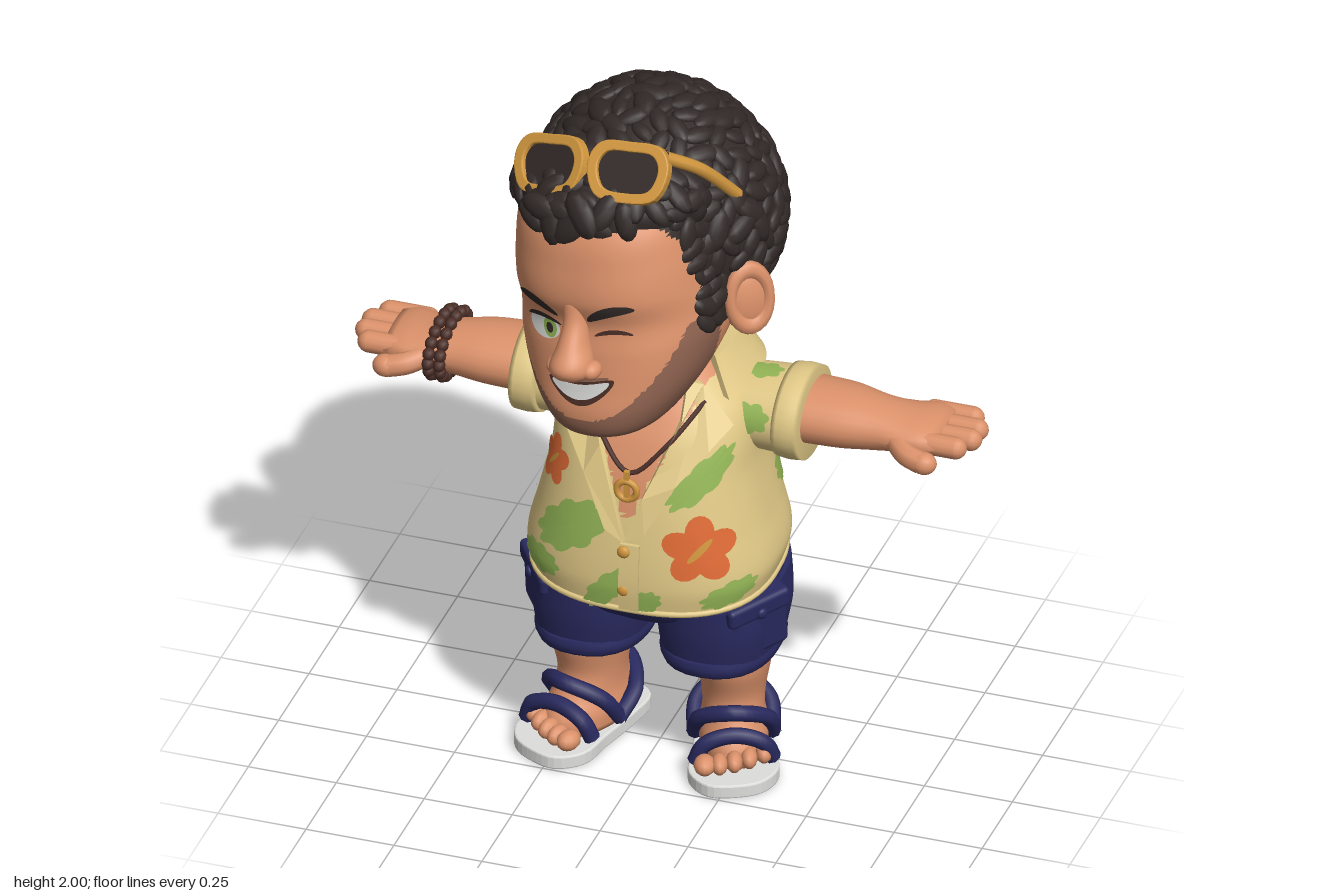
import * as THREE from 'three';
import { mergeGeometries } from 'three/addons/utils/BufferGeometryUtils.js';
import { RoundedBoxGeometry } from 'three/addons/geometries/RoundedBoxGeometry.js';

const V = (x, y, z) => new THREE.Vector3(x, y, z);
const paint = (name, color) => Object.assign(new THREE.MeshStandardMaterial({ color }), { name });

// Surface through rings [y, halfWidth, zBack, zFront]; angle 0 is the front, +x follows.
// lift raises the bottom edge towards the back.
function surface(rings, n = 2, lift = 0) {
  const last = rings.length - 1;
  const slope = (i, k) => {
    const a = rings[Math.max(0, i - 1)], b = rings[Math.min(last, i + 1)];
    return (b[k] - a[k]) / (b[0] - a[0]);
  };
  const at = (angle, y, off = 0) => {
    const yc = Math.min(Math.max(y, rings[0][0]), rings[last][0]);
    let i = 0;
    while (i < last - 1 && yc > rings[i + 1][0]) i++;
    const p = rings[i], q = rings[i + 1], h = q[0] - p[0], t = (yc - p[0]) / h, s = 1 - t;
    const [w, b, f] = [1, 2, 3].map(k => s * s * (1 + 2 * t) * p[k] + t * t * (3 - 2 * t) * q[k]
      + h * t * s * (s * slope(i, k) - t * slope(i + 1, k)));
    const sn = Math.sin(angle), cs = Math.cos(angle);
    const r = (Math.abs(sn / w) ** n + Math.abs(cs / ((f - b) / 2)) ** n) ** (-1 / n) + off;
    const z = (f + b) / 2 + r * cs;
    return V(r * sn, y + lift * (f - z) * Math.max(0, 1 - (yc - rings[0][0]) / 0.25), z);
  };
  at.range = [rings[0][0], rings[last][0]];
  return at;
}

// Closed mesh of a surface; pick(centre) chooses the material index of each face.
function loft(at, rows = 20, cols = 32, pick = () => 0) {
  const [y0, y1] = at.range, pos = [], lists = [[], [], []];
  for (let i = 0; i <= rows; i++) for (let j = 0; j < cols; j++)
    pos.push(at(j / cols * Math.PI * 2, y0 + (y1 - y0) * i / rows));
  for (const i of [0, rows]) {
    const c = V(0, 0, 0);
    for (let j = 0; j < cols; j++) c.addScaledVector(pos[i * cols + j], 1 / cols);
    pos.push(c);
  }
  const tri = (a, b, c) => lists[pick(V(0, 0, 0).add(pos[a]).add(pos[b]).add(pos[c]).divideScalar(3))].push(a, b, c);
  const end = (rows + 1) * cols;
  for (let j = 0; j < cols; j++) {
    const k = (j + 1) % cols;
    for (let i = 0; i < rows; i++) {
      const a = i * cols, b = a + cols;
      tri(a + j, a + k, b + k);
      tri(a + j, b + k, b + j);
    }
    tri(end, k, j);
    tri(end + 1, rows * cols + j, rows * cols + k);
  }
  const g = new THREE.BufferGeometry().setFromPoints(pos);
  g.setIndex(lists.flat());
  lists.reduce((start, l, i) => (g.addGroup(start, l.length, i), start + l.length), 0);
  g.computeVertexNormals();
  return g;
}

// Wraps a flat geometry onto a surface.
function drape(at, g, angle, y, R = 0.3) {
  const p = g.attributes.position;
  for (let i = 0; i < p.count; i++) {
    const q = at(angle + p.getX(i) / R, y + p.getY(i), p.getZ(i));
    p.setXYZ(i, q.x, q.y, q.z);
  }
  g.computeVertexNormals();
  return g;
}

// Thin painted patch: an ellipse with optional lobes, turn and bend.
function patch(at, angle, y, a, b, { turn = 0, lobes = 0, depth = 0.4, bend = 0, off = 0.006 } = {}) {
  const g = new THREE.RingGeometry(0.0001, 1, 40, 4), p = g.attributes.position;
  for (let i = 0; i < p.count; i++) {
    const f = Math.atan2(p.getY(i), p.getX(i));
    const r = lobes ? 1 - depth + depth * Math.abs(Math.cos(f * lobes / 2)) : 1;
    const u = p.getX(i) * r * a, v = p.getY(i) * r * b + bend * u * u;
    p.setXYZ(i, u * Math.cos(turn) - v * Math.sin(turn), u * Math.sin(turn) + v * Math.cos(turn), off);
  }
  return drape(at, g, angle, y);
}
const tube = (pts, r, n = 28) => new THREE.TubeGeometry(new THREE.CatmullRomCurve3(pts), n, r, 8);
const blob = (x, y, z, a, b, c, w = 16) => new THREE.SphereGeometry(1, w, w * 0.75).scale(a, b, c).translate(x, y, z);

export function createModel() {
  const skin = paint('skin', 0xdb916a), stubble = paint('stubble', 0x8f6350), hair = paint('hair', 0x312927);
  const cream = paint('shirt cream', 0xe0c886), green = paint('leaf green', 0x93b556), orange = paint('flower orange', 0xde6a35);
  const navy = paint('navy', 0x29295f), grey = paint('light grey', 0xdededc), brown = paint('bead brown', 0x4c2e27);
  const gold = paint('gold', 0xd0963e);
  const model = new THREE.Group();
  const add = (parent, name, g, m) => {
    const o = new THREE.Mesh(g, m);
    o.name = name;
    parent.add(o);
    return o;
  };
  const group = (name, parent = model) => {
    const g = new THREE.Group();
    g.name = name;
    parent.add(g);
    return g;
  };

  // Shirt, with the open chest as skin
  const torso = surface([[0.58, 0.335, -0.28, 0.298], [0.66, 0.35, -0.292, 0.305], [0.8, 0.32, -0.288, 0.29], [0.95, 0.288, -0.283, 0.26],
    [1.06, 0.28, -0.28, 0.22], [1.13, 0.26, -0.28, 0.18], [1.19, 0.21, -0.28, 0.14], [1.25, 0.16, -0.25, 0.1]], 2.5, 0.1);
  const bare = c => (c.y > 1.249 || (c.z > 0 && Math.abs(c.x) < (c.y - 0.84) * 0.44) ? 1 : 0);
  add(model, 'shirt', loft(torso, 50, 72, bare), [cream, skin]);
  add(model, 'neck', loft(surface([[1.1, 0.14, -0.15, 0.13], [1.35, 0.13, -0.16, 0.12]])), skin);
  add(model, 'collar', drape(torso, new THREE.BoxGeometry(4.3, 0.1, 0.03, 48, 2, 1).translate(0, 0, 0.01), Math.PI, 1.215, 1), cream);
  for (const s of [1, -1]) {
    const pts = [[0.0, 0.8], [0.04, 0.93], [0.09, 1.05], [0.13, 1.13], [0.15, 1.22], [0.2, 1.21], [0.27, 1.11], [0.2, 1.06], [0.12, 0.97], [0.05, 0.83]];
    const shape = new THREE.Shape(pts.map(([x, y]) => new THREE.Vector2(s * x, y)));
    add(model, 'lapel', drape(torso, new THREE.ExtrudeGeometry(shape, { depth: 0.02, bevelEnabled: false }), 0, 0, 0.27), cream);
  }
  add(model, 'placket', drape(torso, new THREE.BoxGeometry(0.055, 0.2, 0.02, 4, 6, 1), 0.05, 0.69), cream);
  for (const y of [0.77, 0.65]) add(model, 'button', blob(0, y, 0.308, 0.018, 0.018, 0.012), gold);
  add(model, 'hem', tube(Array.from({ length: 33 }, (_, i) => torso(i / 32 * Math.PI * 2, 0.585, 0)), 0.009, 64), cream);

  // Printed leaves and flowers: angle, height, half sizes, turn
  const leaves = [[-0.55, 0.8, 0.13, 0.07, 0.6], [0.7, 0.98, 0.13, 0.045, 0.65], [-0.14, 0.65, 0.1, 0.038, 0.8], [-0.85, 0.66, 0.075, 0.045, 0],
    [0.9, 0.64, 0.08, 0.04, 0.3], [0.2, 0.62, 0.05, 0.035, 0.6], [2.02, 0.87, 0.085, 0.06, 0], [-1.5, 0.8, 0.07, 0.06, 0.5], [2.5, 1.12, 0.06, 0.05, 0],
    [3.2, 1.03, 0.08, 0.05, 0.2], [-2.2, 1.04, 0.07, 0.07, 0], [-2.5, 0.8, 0.08, 0.07, 0.3], [2.55, 0.68, 0.09, 0.05, 0], [-2.9, 0.68, 0.06, 0.03, 0.4]];
  for (const [t, y, a, b, turn] of leaves) add(model, 'printedLeaf', patch(torso, t, y, a, b, { turn, lobes: 9, depth: 0.22 }), green);
  for (const [t, y, r] of [[0.66, 0.785, 0.1], [-0.88, 0.95, 0.07], [3.12, 0.81, 0.11], [2.55, 1.02, 0.075]]) {
    add(model, 'printedFlower', patch(torso, t, y, r, r, { turn: 0.3, lobes: 5, depth: 0.35, off: 0.008 }), orange);
    add(model, 'flowerHeart', patch(torso, t, y, r * 0.45, r * 0.1, { turn: 0.8, off: 0.0095 }), gold);
  }

  // Necklace
  add(model, 'cord', tube([[-0.75, 1.17], [-0.35, 1.07], [0, 0.99], [0.35, 1.07], [0.75, 1.17]].map(([t, y]) => torso(t, y, 0.008)), 0.007), brown);
  add(model, 'pendantRing', new THREE.TorusGeometry(0.028, 0.01, 8, 20).translate(0, 0.95, 0.28), gold);
  add(model, 'pendantBar', new THREE.BoxGeometry(0.014, 0.09, 0.014).translate(0, 0.965, 0.28), gold);

  // Arms, built upright and laid sideways
  for (const s of [1, -1]) {
    const arm = group(s > 0 ? 'leftArm' : 'rightArm');
    arm.position.y = 1.08;
    arm.rotation.z = -s * Math.PI / 2;
    const sleeve = surface([[0.12, 0.1, -0.2, 0.06], [0.25, 0.11, -0.21, 0.06], [0.4, 0.118, -0.22, 0.065]]);
    const cuff = surface([[0.335, 0.122, -0.225, 0.07], [0.37, 0.127, -0.229, 0.074], [0.41, 0.124, -0.226, 0.071]]);
    const sleeves = group('sleeve', arm);
    sleeves.position.x = s * 0.012;
    add(sleeves, 'sleeve', loft(sleeve), cream);
    add(sleeves, 'cuff', loft(cuff, 6), cream);
    for (const t of [-s * 0.25, -s * 1.5, 2.8]) add(sleeves, 'sleeveLeaf', patch(sleeve, t, 0.27, 0.1, 0.06, { lobes: 7, depth: 0.25 }), green);
    add(arm, 'forearm', loft(surface([[0.3, 0.085, -0.2, 0.04], [0.5, 0.08, -0.195, 0.037], [0.61, 0.066, -0.17, 0.025], [0.68, 0.052, -0.185, 0.03],
      [0.74, 0.046, -0.21, 0.03], [0.785, 0.034, -0.2, 0.018]]), 24), skin);
    [0.86, 0.89, 0.89, 0.865].forEach((tip, i) =>
      add(arm, 'finger', new THREE.CapsuleGeometry(0.031, 0.11, 6, 12).translate(0, tip - 0.086, -0.175 + i * 0.054), skin));
    add(arm, 'thumb', tube([V(0, 0.66, -0.01), V(s * 0.015, 0.71, 0.035), V(s * 0.025, 0.76, 0.05)], 0.032), skin);
    add(arm, 'thumbTip', blob(s * 0.025, 0.765, 0.05, 0.032, 0.036, 0.032), skin);
    if (s < 0) {
      const beads = [];
      for (const x of [0.615, 0.647]) for (let i = 0; i < 18; i++) {
        const t = i / 18 * Math.PI * 2;
        beads.push(blob(Math.sin(t) * 0.075, x, -0.075 + Math.cos(t) * 0.118, 0.02, 0.017, 0.02, 8));
      }
      add(arm, 'bracelet', mergeGeometries(beads), brown);
    }
  }

  // Shorts
  add(model, 'shortsSeat', loft(surface([[0.46, 0.2, -0.19, 0.15], [0.5, 0.31, -0.265, 0.2], [0.56, 0.325, -0.28, 0.225], [0.66, 0.31, -0.265, 0.23]], 2.4)), navy);
  for (const s of [1, -1]) {
    const leg = group(s > 0 ? 'leftLeg' : 'rightLeg');
    leg.position.x = s * 0.178;
    add(leg, 'shortsLeg', loft(surface([[0.36, 0.155, -0.2, 0.19], [0.46, 0.168, -0.24, 0.205], [0.56, 0.155, -0.265, 0.21]], 2.5)), navy);
    add(leg, 'shortsCuff', loft(surface([[0.343, 0.154, -0.205, 0.197], [0.365, 0.162, -0.212, 0.204], [0.388, 0.158, -0.208, 0.2]], 2.3), 6), navy);
    const pocket = group('pocket', leg);
    pocket.position.set(s * 0.093, 0.49, 0.075);
    pocket.rotation.set(0.12, s * 0.95, 0);
    add(pocket, 'pocketBag', new RoundedBoxGeometry(0.19, 0.18, 0.1, 3, 0.02).translate(0, -0.005, 0.015), navy);
    add(pocket, 'pocketFlap', new RoundedBoxGeometry(0.2, 0.06, 0.11, 3, 0.015).translate(0, 0.06, 0.018), navy);
    add(pocket, 'pocketButton', blob(0, 0.05, 0.075, 0.016, 0.016, 0.01), navy);

    // Leg, foot and sandal
    const foot = group('foot', leg);
    foot.position.x = s * 0.03;
    foot.rotation.y = s * 0.34;
    add(foot, 'shin', loft(surface([[0.04, 0.092, -0.165, 0.16], [0.09, 0.095, -0.165, 0.15], [0.14, 0.085, -0.15, 0.11], [0.2, 0.087, -0.135, 0.085],
      [0.3, 0.103, -0.155, 0.11], [0.42, 0.11, -0.16, 0.12]]), 28), skin);
    for (let i = 0; i < 5; i++)
      add(foot, 'toe', blob(s * (-0.08 + i * 0.04), 0.07, 0.182 - i * i * 0.004, i ? 0.023 : 0.03, 0.028, 0.038, 12), skin);
    const outline = [[0, -0.203], [0.07, -0.18], [0.095, -0.08], [0.108, 0.06], [0.115, 0.15], [0.07, 0.215], [0, 0.237], [-0.07, 0.232], [-0.118, 0.165],
      [-0.108, 0.06], [-0.095, -0.08], [-0.07, -0.18]].map(([x, z]) => V(s * x, -z, 0));
    const curve = new THREE.CatmullRomCurve3(outline, true).getPoints(48).map(p => new THREE.Vector2(p.x, p.y));
    add(foot, 'sole', new THREE.ExtrudeGeometry(new THREE.Shape(curve), { depth: 0.03, bevelSize: 0.005, bevelThickness: 0.005, bevelSegments: 2 })
      .rotateX(-Math.PI / 2).translate(0, 0.005, 0), grey);
    const straps = [[[-0.105, 0.05, 0.13], [-0.08, 0.105, 0.135], [0, 0.13, 0.13], [0.08, 0.105, 0.125], [0.105, 0.05, 0.11]],
      [[-0.105, 0.06, -0.01], [-0.09, 0.14, 0.05], [0, 0.182, 0.1], [0.09, 0.14, 0.05], [0.105, 0.06, -0.01]],
      [[-0.105, 0.06, 0.0], [-0.095, 0.12, -0.09], [0, 0.16, -0.158], [0.095, 0.12, -0.09], [0.105, 0.06, 0.0]]];
    for (const pts of straps) add(foot, 'strap', tube(pts.map(p => V(...p)), 0.023), navy);
  }

  // Head, turned and tilted, with stubble on the jaw and hair above the hairline
  const head = group('head');
  head.position.set(-0.05, 1.5, 0);
  head.rotation.set(0, -0.22, 0.13, 'YXZ');
  const face = surface([[-0.365, 0.09, 0.12, 0.33], [-0.34, 0.145, 0.05, 0.37], [-0.28, 0.2, -0.02, 0.385], [-0.2, 0.25, -0.1, 0.372], [-0.1, 0.285, -0.2, 0.358],
    [-0.02, 0.29, -0.24, 0.345], [0.06, 0.285, -0.25, 0.368], [0.15, 0.28, -0.25, 0.358], [0.25, 0.265, -0.25, 0.33], [0.33, 0.22, -0.2, 0.26], [0.4, 0.12, -0.12, 0.14]], 2.3);
  const zone = c => {
    if (c.y > 0.27 || (c.y > -0.1 && c.z < 0.14 + Math.max(0, c.y - 0.15) * 0.8)) return 2;
    return c.z > 0.08 && c.y < -0.04 - Math.max(0, c.z - 0.2) * 1.35 ? 1 : 0;
  };
  add(head, 'face', loft(face, 80, 120, zone), [skin, stubble, hair]);
  add(head, 'nose', loft(surface([[-0.165, 0.03, 0.33, 0.4], [-0.138, 0.058, 0.32, 0.445], [-0.105, 0.058, 0.32, 0.457], [-0.06, 0.042, 0.31, 0.425],
    [0, 0.034, 0.3, 0.383], [0.06, 0.04, 0.3, 0.366]]), 20), skin);
  for (const s of [1, -1]) {
    add(head, 'nostril', blob(s * 0.055, -0.128, 0.38, 0.027, 0.026, 0.034), skin);
    add(head, 'eyebrow', patch(face, s * 0.36, 0.045, 0.07, 0.016, { turn: s * 0.3, bend: -3, off: 0.009 }), hair);
    const ear = group('ear', head);
    ear.position.set(s * 0.308, -0.06, -0.02);
    ear.rotation.y = -s * 0.6;
    add(ear, 'earBody', blob(0, 0, 0, 0.04, 0.1, 0.074), skin);
    add(ear, 'earRim', new THREE.TorusGeometry(0.056, 0.018, 8, 24).rotateY(Math.PI / 2).scale(1, 1.5, 1).translate(s * 0.025, 0.008, 0), skin);
  }
  add(head, 'eyeWhite', patch(face, -0.37, -0.04, 0.058, 0.035), grey);
  add(head, 'iris', patch(face, -0.29, -0.04, 0.024, 0.028, { off: 0.0075 }), green);
  add(head, 'pupil', patch(face, -0.29, -0.04, 0.012, 0.015, { off: 0.009 }), hair);
  add(head, 'upperLid', patch(face, -0.36, -0.006, 0.064, 0.008, { bend: -4, off: 0.009 }), hair);
  add(head, 'wink', patch(face, 0.37, -0.025, 0.055, 0.007, { bend: -4, turn: 0.05 }), brown);
  add(head, 'moustache', patch(face, 0.03, -0.178, 0.1, 0.012, { bend: 1.5, turn: 0.06, off: 0.004 }), stubble);
  add(head, 'mouth', patch(face, 0.03, -0.21, 0.12, 0.034, { bend: 2.4, turn: 0.06 }), brown);
  add(head, 'teeth', patch(face, 0.03, -0.204, 0.105, 0.022, { bend: 2.4, turn: 0.06, off: 0.009 }), grey);

  // Curly hair: two masses covered with seeded tufts
  let seed = 7;
  const rnd = () => (seed = (seed * 16807) % 2147483647) / 2147483647;
  const curls = [];
  const tuft = (p, n, size) => {
    const q = new THREE.Quaternion().setFromUnitVectors(V(0, 0, 1), n.normalize())
      .multiply(new THREE.Quaternion().setFromAxisAngle(V(0, 0, 1), rnd() * 6.28));
    const k = size * (0.75 + rnd() * 0.55);
    curls.push(new THREE.SphereGeometry(1, 9, 7).applyMatrix4(new THREE.Matrix4().compose(p, q, V(k * 1.5, k * 0.8, k * 0.5))));
  };
  for (const [c, r, count] of [[V(-0.005, 0.12, -0.1), V(0.35, 0.35, 0.333), 420], [V(0, 0.28, 0.1), V(0.275, 0.125, 0.215), 130]]) {
    curls.push(blob(c.x, c.y, c.z, r.x, r.y, r.z, 40));
    for (let i = 0; i < count; i++) {
      const y = 1 - 2 * (i + 0.5) / count, a = i * 2.39996, w = Math.sqrt(1 - y * y);
      const d = V(Math.cos(a) * w, y, Math.sin(a) * w), p = d.clone().multiply(r).add(c);
      if ((p.z > 0.12 && p.y < 0.27) || (p.z > -0.06 && p.y < 0.04)) continue;
      tuft(p, d.divide(r), 0.034);
    }
  }
  // Hairline, temples, sideburns and forelock
  for (let i = 0; i <= 22; i++) {
    const t = -0.99 + i * 0.09, p = face(t, 0.285, -0.005);
    tuft(p, V(p.x, 0.05, p.z), 0.036);
  }
  for (const s of [1, -1]) for (let row = 0; row < 8; row++) for (let k = 0; k < 3; k++) {
    const y = 0.25 - row * 0.045, p = face(s * (1.3 - Math.max(0, y - 0.1) + k * 0.15), y, -0.004);
    if (y > -0.02 || k < 2) tuft(p, V(p.x, 0, p.z * 0.4), 0.03);
  }
  for (let i = 0; i < 6; i++) tuft(V(-0.12 + i * 0.032, 0.28 + (i % 2) * 0.03, 0.315), V(0, 0.3, 0.95), 0.045);
  add(head, 'curlyHair', mergeGeometries(curls), hair);

  // Sunglasses resting on the hair
  const glasses = group('sunglasses', head);
  glasses.position.set(0.02, 0.392, 0.21);
  glasses.rotation.set(-0.6, 0, 0.08);
  const oval = (w, h) => new THREE.CatmullRomCurve3([[1, 0.25], [0.75, 0.9], [0, 1], [-0.75, 0.9], [-1, 0.25], [-0.75, -0.8], [0, -1], [0.75, -0.8]]
    .map(([x, y]) => V(x * w, y * h, 0)), true).getPoints(40).map(p => new THREE.Vector2(p.x, p.y));
  for (const s of [1, -1]) {
    const rim = new THREE.Shape(oval(0.114, 0.08));
    rim.holes.push(new THREE.Path(oval(0.092, 0.06)));
    const side = group('lensSide', glasses);
    side.position.x = s * 0.12;
    side.rotation.y = s * 0.15;
    add(side, 'rim', new THREE.ExtrudeGeometry(rim, { depth: 0.025, bevelSize: 0.004, bevelThickness: 0.004, bevelSegments: 2 }), gold);
    add(side, 'lens', new THREE.ExtrudeGeometry(new THREE.Shape(oval(0.094, 0.062)), { depth: 0.015, bevelEnabled: false }), hair);
    const lean = s > 0 ? 0.02 : -0.02;
    add(head, 'templeArm', tube([V(s * 0.22 + 0.015, 0.43 + lean, 0.17), V(s * 0.27 + 0.015, 0.36 + lean, 0.085), V(s * 0.3 + 0.015, 0.23 + lean, -0.03)], 0.018), gold);
  }
  add(glasses, 'bridge', new RoundedBoxGeometry(0.06, 0.025, 0.03, 2, 0.008).translate(0, 0.02, 0.012), gold);
  return model;
}
